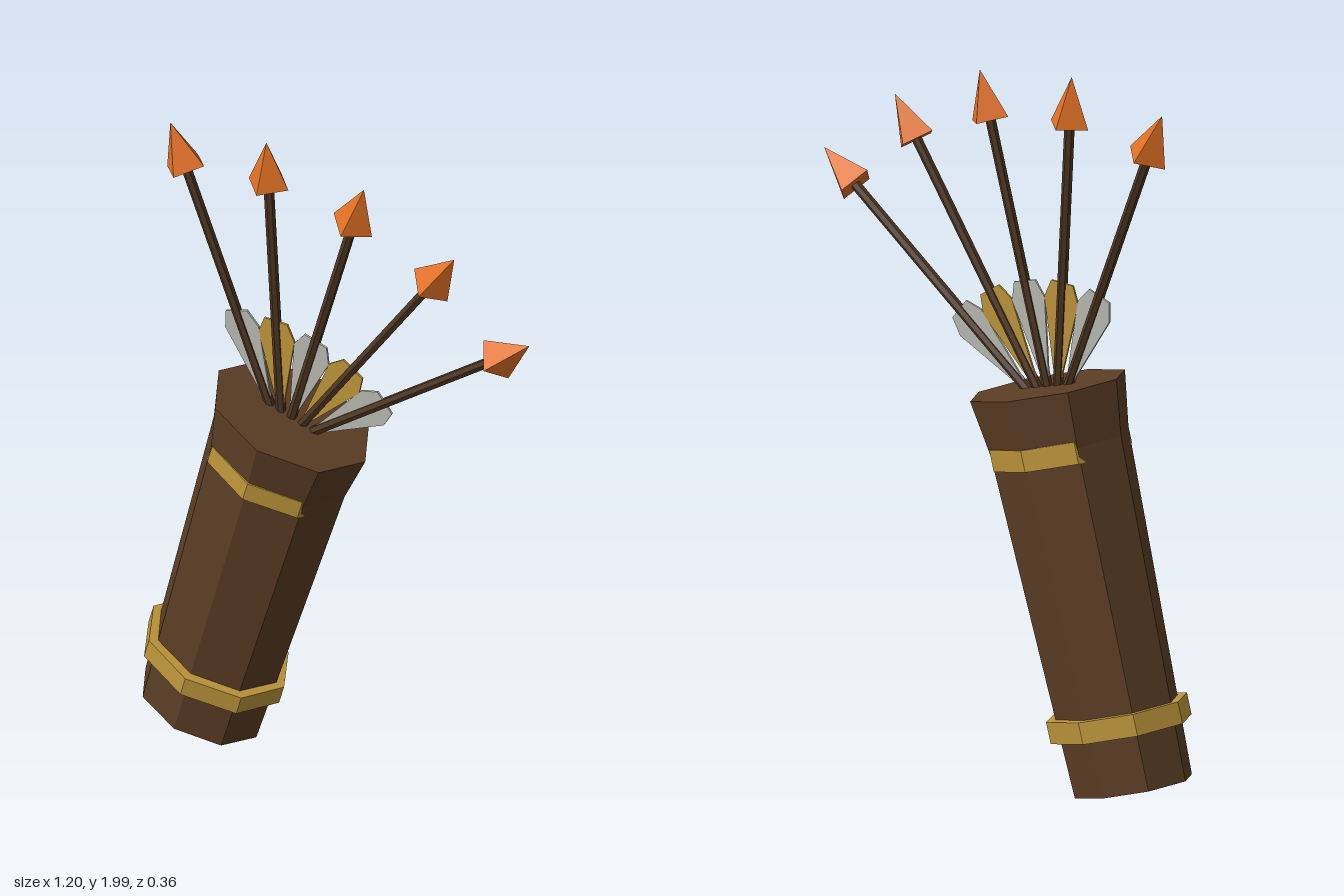
import * as THREE from 'three';

const mat = (name, color, extra = {}) => {
  const m = new THREE.MeshStandardMaterial({ color, flatShading: true, ...extra });
  m.name = name;
  return m;
};

export function createModel() {
  const leather = mat('leather brown', 0x5b3d24);
  const wood = mat('shaft wood', 0x4d3521);
  const brass = mat('brass gold', 0xbd953b);
  const silver = mat('feather silver', 0xb9b9b3, { side: THREE.DoubleSide });
  const gold = mat('feather gold', 0xbd953b, { side: THREE.DoubleSide });
  const copper = mat('arrowhead orange', 0xdf7024);

  const add = (parent, name, geometry, material, y = 0) => {
    const mesh = new THREE.Mesh(geometry, material);
    mesh.name = name;
    mesh.position.y = y;
    parent.add(mesh);
    return mesh;
  };

  const model = new THREE.Group();
  model.name = 'quiver';

  // Everything leans 15 degrees toward +x, around the centre of the base
  const lean = new THREE.Group();
  lean.name = 'leaningQuiver';
  lean.position.set(-0.427, 0.047, 0);
  lean.rotation.z = -Math.PI / 12;
  model.add(lean);

  // Oval eight-sided case with a flared, closed mouth
  const profile = [[0, 0], [0.18, 0], [0.212, 0.95], [0.238, 1.105], [0, 1.105]];
  const caseGeo = new THREE.LatheGeometry(profile.map(p => new THREE.Vector2(...p)), 8);
  caseGeo.scale(1, 1, 0.758);
  add(lean, 'case', caseGeo, leather);

  // Bands; the upper one sinks into the case at its narrow sides
  for (const [name, y, rx, rz] of [['lowerBand', 0.187, 0.212, 0.17], ['upperBand', 0.937, 0.207, 0.168]]) {
    const band = new THREE.CylinderGeometry(1, 1, 0.06, 8);
    band.scale(rx, 1, rz);
    add(lean, name, band, brass, y);
  }

  // Shared arrow geometry
  const length = 0.897, headHeight = 0.135;
  const shaftGeo = new THREE.CylinderGeometry(0.014, 0.014, length - headHeight + 0.03, 6);
  const headGeo = new THREE.ConeGeometry(0.062, headHeight, 4);
  const outline = [[-0.012, 0.05], [0.012, 0.05], [0.056, 0.265], [0.036, 0.315], [-0.036, 0.315], [-0.056, 0.265]];
  const featherGeo = new THREE.ExtrudeGeometry(
    new THREE.Shape(outline.map(p => new THREE.Vector2(...p))), { depth: 0.006, bevelEnabled: false });
  featherGeo.translate(0, 0, -0.003);

  // Five arrows fanned out in 18 degree steps
  for (let k = -2; k <= 2; k++) {
    const arrow = new THREE.Group();
    arrow.name = 'arrow' + (k + 3);
    arrow.position.set(k * 0.028, 1.08, 0);
    arrow.rotation.z = -k * Math.PI / 10;
    add(arrow, 'shaft', shaftGeo, wood, (length - headHeight) / 2);
    add(arrow, 'arrowhead', headGeo, copper, length - headHeight / 2);
    add(arrow, 'feather', featherGeo, k % 2 ? gold : silver);
    lean.add(arrow);
  }
  return model;
}
